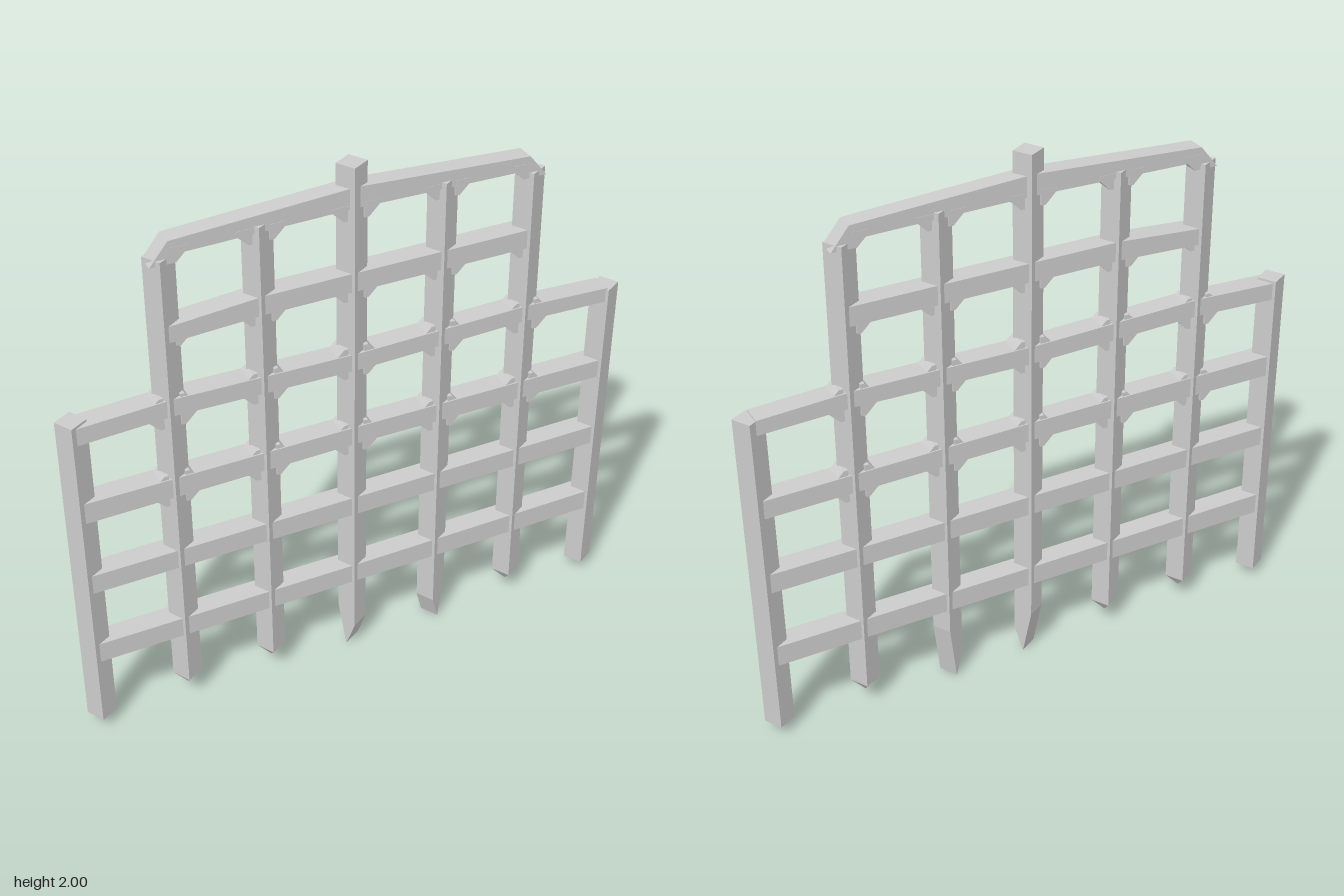
import * as THREE from 'three';

const STEP = 0.331;          // post spacing along the gate
const ANGLE = Math.PI / 3;   // the gate stands turned about y
const W = 0.073;             // post width
const mat = new THREE.MeshStandardMaterial({ color: 0xcccccc, flatShading: true, side: THREE.DoubleSide });

// Square post; its bottom row closes to a point or ridge, shoulders may differ per side
function post(name, k, bottom, top, tip = {}) {
  const { x = 1, z = 1, low = 0.1, high = low, lean = 0 } = tip;
  const geo = new THREE.BoxGeometry(W, 1, W, 1, 2, 1);
  const p = geo.attributes.position;
  for (let i = 0; i < p.count; i++) {
    const px = p.getX(i), pz = p.getZ(i), row = p.getY(i);
    if (row < -0.1) {
      p.setXYZ(i, px * x, bottom, pz * z);
    } else if (row < 0.1) {
      const steep = x < 1 && z === 1 ? px < 0 : pz < 0;
      p.setY(i, steep ? high : low);
    } else {
      p.setXYZ(i, px + lean * 0.5, top, pz - lean * 0.87);
    }
  }
  const mesh = new THREE.Mesh(geo, mat);
  mesh.name = name;
  mesh.position.set(k * STEP * Math.cos(ANGLE), 0, -k * STEP * Math.sin(ANGLE));
  return mesh;
}

// Flat outline in the plane of the gate, given thickness
function slab(name, points, thick) {
  const shape = new THREE.Shape(points.map(([s, y]) => new THREE.Vector2(s, y)));
  const geo = new THREE.ExtrudeGeometry(shape, { depth: thick, bevelEnabled: false });
  geo.translate(0, 0, -thick / 2);
  const mesh = new THREE.Mesh(geo, mat);
  mesh.name = name;
  return mesh;
}

export function createModel() {
  const gate = new THREE.Group();
  gate.name = 'latticeGate';

  // Vertical posts
  const posts = new THREE.Group();
  posts.name = 'posts';
  const point = { x: 0.03, z: 0.03, low: 0.1 };
  posts.add(
    post('leftOuterPost', 3, 0.045, 1.29, { lean: 0.012 }),
    post('rightOuterPost', -3, 0.045, 1.31),
    post('leftShoulderPost', 2, 0.05, 1.83, point),
    post('rightShoulderPost', -2, 0.05, 1.83, point),
    post('leftInnerPost', 1, 0, 1.87, { z: 0.03, low: 0.1, high: 0.22 }),
    post('rightInnerPost', -1, 0.05, 1.87, point),
    post('centrePost', 0, 0, 2, { x: 0.03, low: 0.1, high: 0.18 })
  );
  gate.add(posts);

  // Horizontal rails and joints, built flat and turned into the gate plane
  const lattice = new THREE.Group();
  lattice.name = 'lattice';
  lattice.rotation.y = ANGLE;
  gate.add(lattice);

  const E = 3 * STEP, S = 2 * STEP;
  const rails = [
    ['bottomRail', [[-E, 0.31], [E, 0.31], [E, 0.39], [0, 0.385], [-E, 0.39]]],
    ['lowerRail', [[-E, 0.62], [E, 0.62], [E, 0.695], [-E, 0.695]]],
    ['middleRail', [[-E, 0.92], [0, 0.93], [E, 0.92], [E, 0.99], [0, 1.0], [-E, 1.0]]],
    ['shoulderRail', [[-E, 1.235], [-S, 1.25], [0, 1.235], [S, 1.25], [E, 1.24],
      [E, 1.295], [S, 1.31], [0, 1.3], [-S, 1.315], [-E, 1.3]]],
    ['upperRail', [[-S, 1.53], [-STEP, 1.545], [S, 1.545], [S, 1.615], [-STEP, 1.615], [-S, 1.59]]]
  ];
  for (const [name, outline] of rails) lattice.add(slab(name, outline, 0.08));

  // Top rail with cut corners and a gentle rise to the centre
  lattice.add(slab('topRail', [[-0.705, 1.81], [-0.64, 1.89], [0, 1.925], [0.64, 1.89],
    [0.705, 1.81], [0.62, 1.81], [0.6, 1.84], [0, 1.85], [-0.6, 1.84], [-0.62, 1.81]], 0.068));

  // Small corner braces: [edge height, direction, outermost post]
  const braces = [
    [1.85, -1, 2], [1.55, -1, 2], [1.245, -1, 2], [0.93, -1, 2],
    [1.3, 1, 2], [0.99, 1, 2]
  ];
  for (const [y, dir, last] of braces) {
    for (let k = -last; k <= last; k++) {
      for (const side of [-1, 1]) {
        if (y > 1.3 && k * side === last) continue;
        const size = dir < 0 ? 0.04 : 0.025;
        const s = k * STEP + side * 0.03, inner = y - dir * 0.015;
        lattice.add(slab('cornerBrace', [[s, inner], [s + side * (0.015 + size), inner],
          [s + side * (0.015 + size), y], [s + side * 0.015, y + dir * size], [s, y + dir * size]], 0.07));
      }
    }
  }
  return gate;
}
